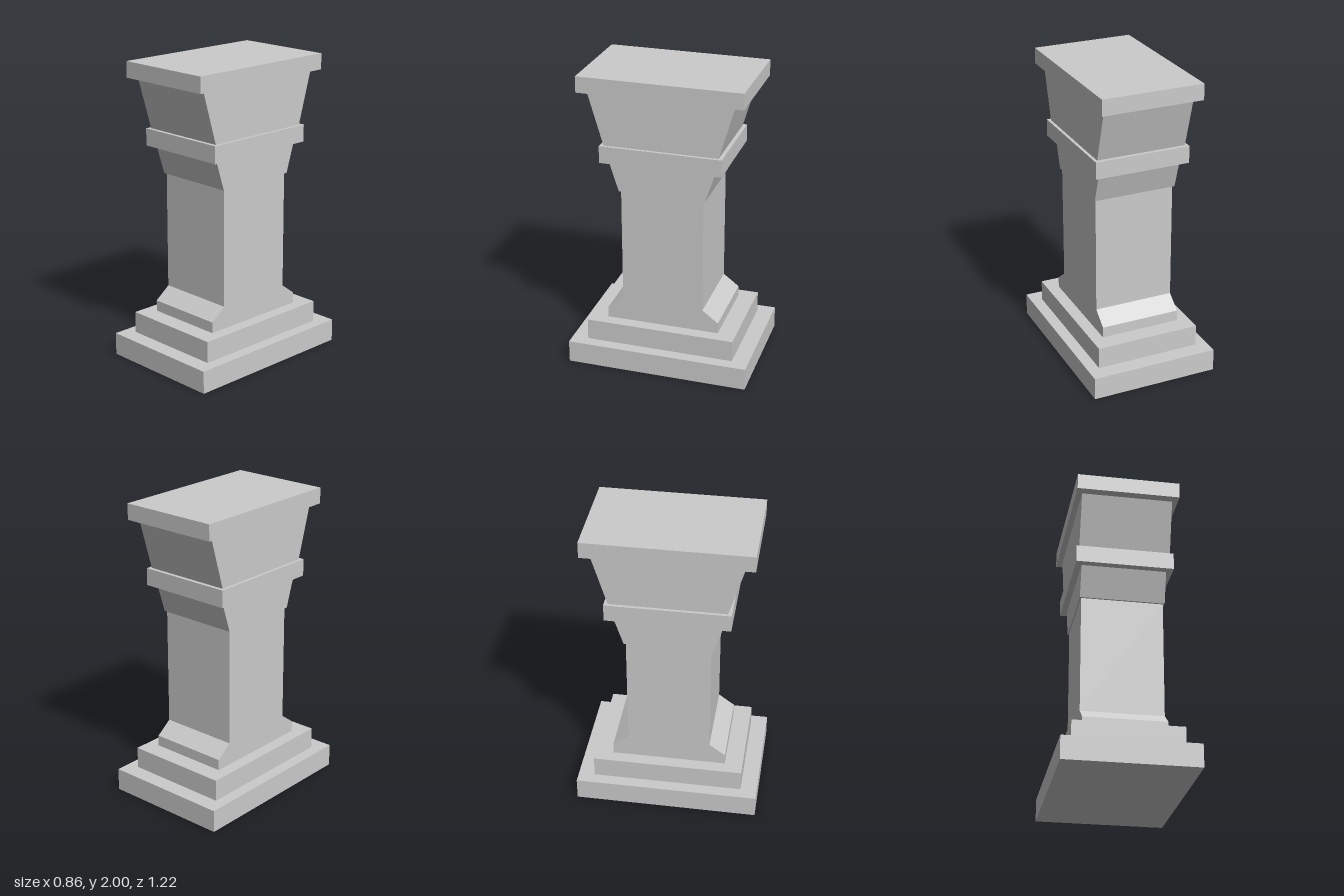
import * as THREE from 'three';

const material = new THREE.MeshStandardMaterial({ color: 0xcccccc, flatShading: true });

// Extrudes a front-to-back symmetric profile of [halfDepth, y] points across the width
function course(name, halfWidth, side) {
  const mirrored = side.map(([d, y]) => [-d, y]).reverse();
  const shape = new THREE.Shape([...side, ...mirrored].map(([d, y]) => new THREE.Vector2(d, y)));
  const geometry = new THREE.ExtrudeGeometry(shape, { depth: 2 * halfWidth, bevelEnabled: false });
  geometry.translate(0, 0, -halfWidth);
  geometry.rotateY(Math.PI / 2);
  const mesh = new THREE.Mesh(geometry, material);
  mesh.name = name;
  return mesh;
}

// Rectangular slab given by half sizes and its bottom and top heights
function slab(name, halfWidth, halfDepth, bottom, top) {
  const mesh = new THREE.Mesh(
    new THREE.BoxGeometry(2 * halfWidth, top - bottom, 2 * halfDepth), material);
  mesh.position.y = (bottom + top) / 2;
  mesh.name = name;
  return mesh;
}

export function createModel() {
  const pedestal = new THREE.Group();
  pedestal.name = 'pedestal';
  pedestal.add(
    // Stepped base
    slab('basePlinth', 0.429, 0.609, 0, 0.151),
    slab('baseStep', 0.351, 0.5, 0.151, 0.295),
    // Shaft with a sloped foot at front and back
    course('shaft', 0.269, [[0.38, 0.295], [0.38, 0.368], [0.274, 0.448], [0.274, 1.233]]),
    // Flared capital, split by a collar
    course('lowerCapital', 0.279, [[0.286, 1.233], [0.35, 1.433]]),
    slab('collar', 0.32, 0.4, 1.433, 1.547),
    course('upperCapital', 0.3, [[0.375, 1.547], [0.477, 1.894]]),
    slab('topSlab', 0.338, 0.537, 1.894, 2),
  );
  return pedestal;
}
